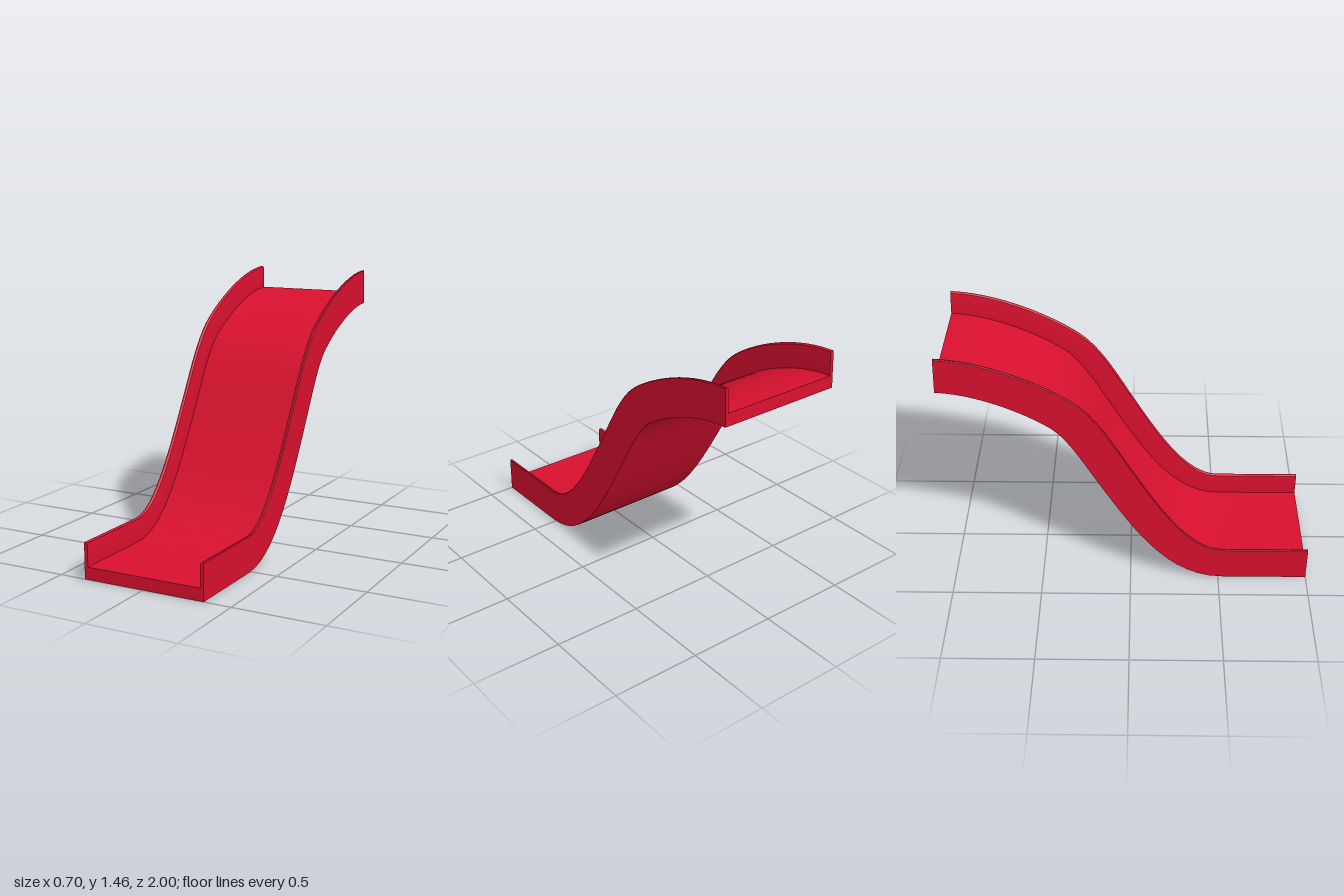
import * as THREE from 'three';
import { toCreasedNormals } from 'three/addons/utils/BufferGeometryUtils.js';

// Centre line of the chute in (z, y), from the front exit to the top
function chutePath() {
  const v = (z, y) => new THREE.Vector2(z, y);
  const path = new THREE.CurvePath();
  path.add(new THREE.LineCurve(v(1, 0.1), v(0.52, 0.1)));
  path.add(new THREE.CubicBezierCurve(v(0.52, 0.1), v(0.27, 0.1), v(0.09, 0.42), v(-0.1, 0.75)));
  path.add(new THREE.CubicBezierCurve(v(-0.1, 0.75), v(-0.18, 0.89), v(-0.26, 1.045), v(-0.36, 1.12)));
  path.add(new THREE.CubicBezierCurve(v(-0.36, 1.12), v(-0.48, 1.21), v(-0.75, 1.35), v(-1, 1.36)));
  return path;
}

// U-shaped section: x across, y along the path normal; wall tops are slightly rounded
function chuteSection() {
  const outer = 0.35, inner = 0.33, floor = -0.032, half = 0.1;
  const right = [
    [outer, -half], [outer, half - 0.004], [outer - 0.004, half],
    [inner + 0.008, half - 0.001], [inner + 0.002, half - 0.006], [inner, half - 0.015],
    [inner, floor],
  ];
  const left = right.map(([x, y]) => [-x, y]).reverse();
  return [...right, ...left].map(([x, y]) => new THREE.Vector2(x, y));
}

// Sweeps the section along the path, keeping it square to the path, and caps both ends
function sweep(path, section) {
  const n = section.length, positions = [], index = [];
  let rings = 0;
  path.curves.forEach((curve, c) => {
    const steps = curve.isLineCurve ? 1 : 14;
    for (let i = c === 0 ? 0 : 1; i <= steps; i++) {
      const p = curve.getPoint(i / steps), t = curve.getTangent(i / steps);
      for (const s of section) positions.push(s.x, p.y - t.x * s.y, p.x + t.y * s.y);
      rings++;
    }
  });
  for (let i = 0; i < rings - 1; i++) {
    for (let j = 0; j < n; j++) {
      const k = (j + 1) % n;
      const a = i * n + j, b = a + n, c = (i + 1) * n + k, d = i * n + k;
      index.push(a, b, c, a, c, d);
    }
  }
  const last = (rings - 1) * n;
  for (const [a, b, c] of THREE.ShapeUtils.triangulateShape(section, [])) {
    index.push(a, b, c, last + a, last + c, last + b);
  }
  const geometry = new THREE.BufferGeometry();
  geometry.setAttribute('position', new THREE.Float32BufferAttribute(positions, 3));
  geometry.setIndex(index);
  return toCreasedNormals(geometry, Math.PI / 6);
}

export function createModel() {
  const group = new THREE.Group();
  group.name = 'slide';
  const material = new THREE.MeshStandardMaterial({ color: 0xd8102e });
  const chute = new THREE.Mesh(sweep(chutePath(), chuteSection()), material);
  chute.name = 'slideChute';
  group.add(chute);
  return group;
}
